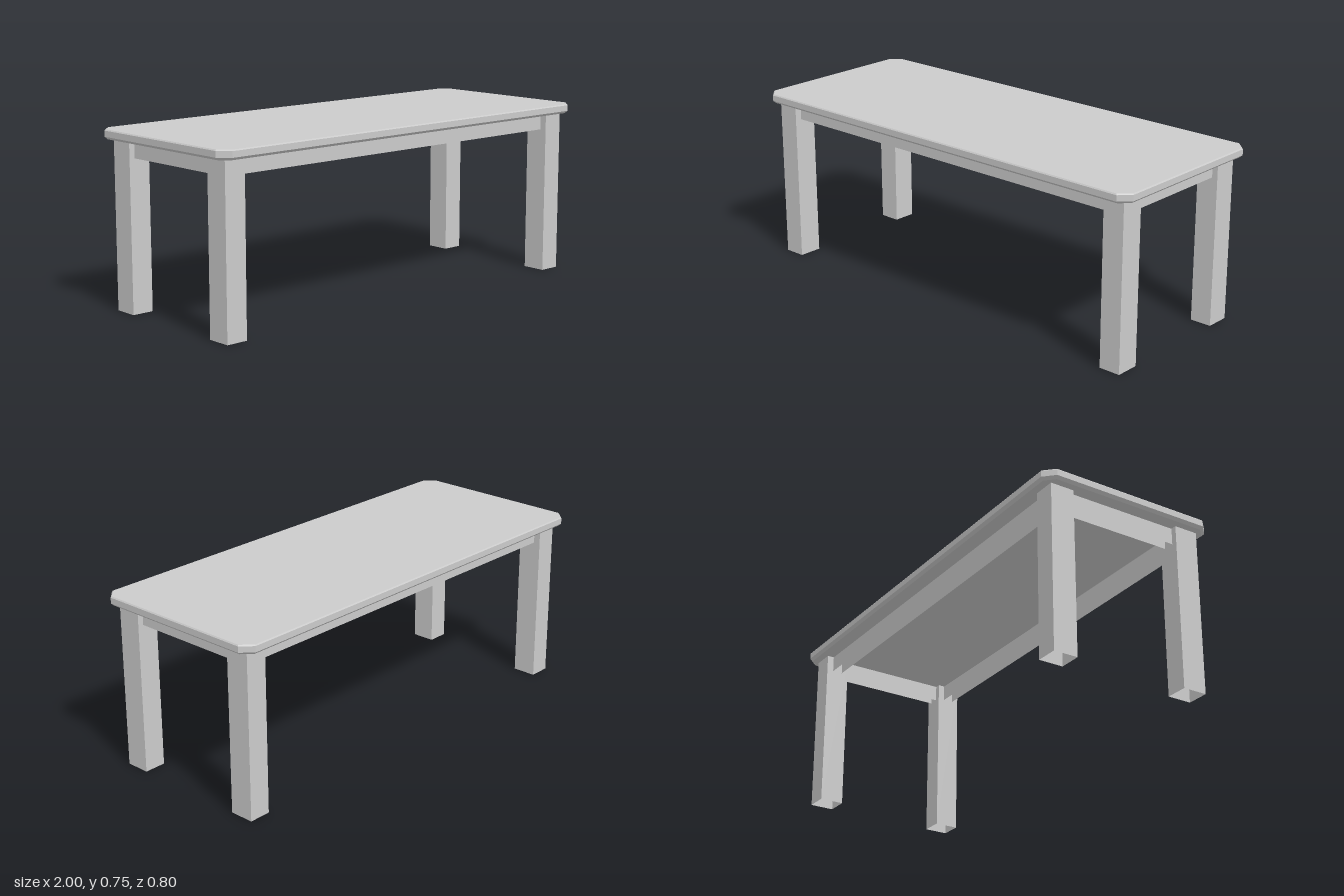
import * as THREE from 'three';

const material = new THREE.MeshStandardMaterial({ color: 0xcccccc, flatShading: true, side: THREE.DoubleSide });

function addMesh(group, name, geometry, x = 0, y = 0, z = 0) {
  const mesh = new THREE.Mesh(geometry, material);
  mesh.name = name;
  mesh.position.set(x, y, z);
  group.add(mesh);
}

// Rectangle with clipped corners, shrunk by an inset
function clippedOutline(inset, y) {
  const x = 1 - inset, z = 0.4 - inset, cut = 0.045 - inset * 0.59;
  return [
    [x, z - cut], [x - cut, z], [cut - x, z], [-x, z - cut],
    [-x, cut - z], [cut - x, -z], [x - cut, -z], [x, cut - z],
  ].map(([px, pz]) => new THREE.Vector3(px, y, pz));
}

// Slab with a fine upper bevel and a wider lower bevel
function tabletopGeometry() {
  const rings = [[0.012, 0.709], [0, 0.72], [0, 0.745], [0.004, 0.75]].map(([d, y]) => clippedOutline(d, y));
  const points = [];
  for (let r = 0; r < rings.length - 1; r++) {
    for (let i = 0; i < 8; i++) {
      const j = (i + 1) % 8, low = rings[r], high = rings[r + 1];
      points.push(low[i], high[i], high[j], low[i], high[j], low[j]);
    }
  }
  const bottom = rings[0], top = rings[rings.length - 1];
  for (let i = 1; i < 7; i++) {
    points.push(bottom[0], bottom[i], bottom[i + 1]);
    points.push(top[0], top[i + 1], top[i]);
  }
  const geometry = new THREE.BufferGeometry().setFromPoints(points);
  geometry.computeVertexNormals();
  return geometry;
}

// Four upright walls, open above and below
function hollowBox(width, height, depth) {
  const geometry = new THREE.CylinderGeometry(Math.SQRT1_2, Math.SQRT1_2, 1, 4, 1, true);
  geometry.rotateY(Math.PI / 4);
  geometry.scale(width, height, depth);
  const flat = geometry.toNonIndexed();
  flat.computeVertexNormals();
  return flat;
}

export function createModel() {
  const table = new THREE.Group();
  table.name = 'table';

  addMesh(table, 'tabletop', tabletopGeometry());

  // Four hollow legs, inset from the corners
  const leg = hollowBox(0.095, 0.709, 0.105);
  for (const [sx, side] of [[1, 'Left'], [-1, 'Right']]) {
    for (const [sz, end] of [[1, 'front'], [-1, 'back']]) {
      addMesh(table, `${end}${side}Leg`, leg, sx * 0.909, 0.3545, sz * 0.302);
    }
  }

  // Hollow apron rails between the legs, open underneath
  const longRail = hollowBox(1.723, 0.071, 0.045);
  const shortRail = hollowBox(0.045, 0.071, 0.499);
  addMesh(table, 'frontApron', longRail, 0, 0.6735, 0.302);
  addMesh(table, 'backApron', longRail, 0, 0.6735, -0.302);
  addMesh(table, 'leftApron', shortRail, 0.909, 0.6735, 0);
  addMesh(table, 'rightApron', shortRail, -0.909, 0.6735, 0);

  return table;
}
